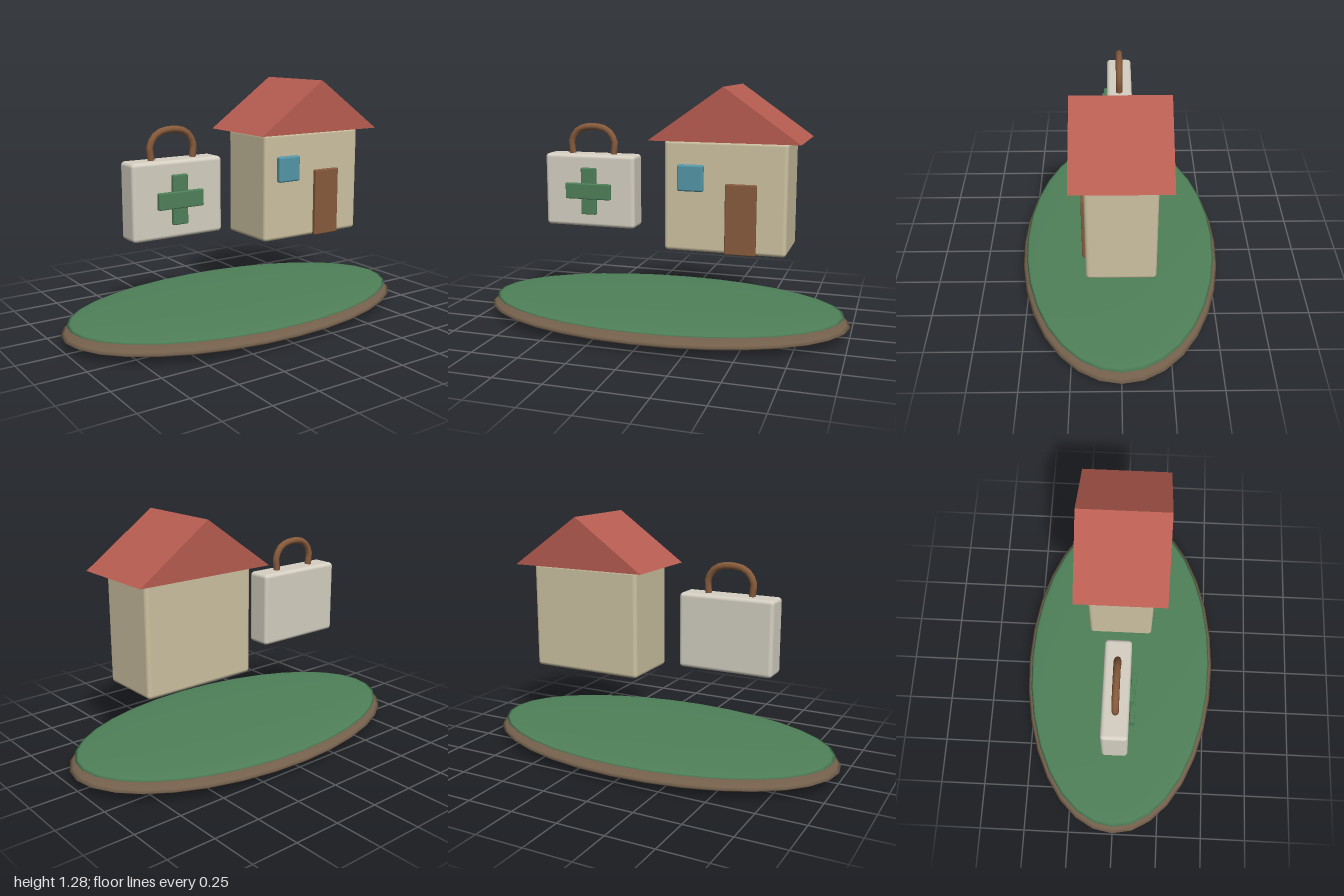
import * as THREE from 'three';
import { RoundedBoxGeometry } from 'three/addons/geometries/RoundedBoxGeometry.js';

const paint = (color) => new THREE.MeshStandardMaterial({ color });

export function createModel() {
  const model = new THREE.Group();
  const green = paint(0x4f8159), soil = paint(0x74604c), cream = paint(0xcdc2a2);
  const white = paint(0xd5d0c2), red = paint(0xb85d51), brown = paint(0x875b3c), blue = paint(0x5497a8);

  const add = (parent, name, geometry, material) => {
    const mesh = new THREE.Mesh(geometry, material);
    mesh.name = name;
    parent.add(mesh);
    return mesh;
  };
  // Rounded box given by its lower and upper bounds on each axis
  const block = (parent, name, [x0, x1], [y0, y1], [z0, z1], radius, material) => {
    const mesh = add(parent, name, new RoundedBoxGeometry(x1 - x0, y1 - y0, z1 - z0, 3, radius), material);
    mesh.position.set((x0 + x1) / 2, (y0 + y1) / 2, (z0 + z1) / 2);
    return mesh;
  };
  const group = (name) => {
    const g = new THREE.Group();
    g.name = name;
    model.add(g);
    return g;
  };

  // Island: two flattened ellipsoids, soil below and grass on top
  const island = group('island');
  const disc = (name, y, rx, ry, rz, material) => {
    const mesh = add(island, name, new THREE.SphereGeometry(1, 32, 16), material);
    mesh.scale.set(rx, ry, rz);
    mesh.position.y = y;
  };
  disc('soil', 0.058, 1, 0.056, 0.547, soil);
  disc('grass', 0.105, 0.97, 0.019, 0.526, green);

  // House
  const house = group('house');
  block(house, 'walls', [0.055, 0.685], [0.44, 1.01], [-0.17, 0.17], 0.02, cream);
  block(house, 'door', [0.377, 0.535], [0.442, 0.8], [0.165, 0.191], 0.006, brown);
  block(house, 'window', [0.13, 0.265], [0.755, 0.89], [0.165, 0.198], 0.01, blue);

  // Gabled roof
  const gable = new THREE.Shape([
    new THREE.Vector2(-0.01, 1.01), new THREE.Vector2(0.755, 1.01), new THREE.Vector2(0.372, 1.28),
  ]);
  const roof = new THREE.ExtrudeGeometry(gable, { depth: 0.472, bevelEnabled: false });
  roof.translate(0, 0, -0.236);
  add(house, 'roof', roof, red);

  // Medical bag with a cross on the front
  const bag = group('medicalBag');
  block(bag, 'case', [-0.653, -0.143], [0.512, 0.905], [-0.069, 0.067], 0.02, white);
  block(bag, 'crossUpright', [-0.44, -0.355], [0.582, 0.835], [0.06, 0.085], 0.006, green);
  block(bag, 'crossBar', [-0.525, -0.27], [0.667, 0.752], [0.07, 0.096], 0.006, green);

  // Carrying handle
  const half = [[0.118, 0.905], [0.123, 0.975], [0.083, 1.033]];
  const path = [
    ...half.map(([x, y]) => [-x, y]), [0, 1.052], ...half.slice().reverse(),
  ].map(([x, y]) => new THREE.Vector3(x - 0.398, y, 0));
  add(bag, 'handle', new THREE.TubeGeometry(new THREE.CatmullRomCurve3(path), 14, 0.018, 8), brown);

  return model;
}
